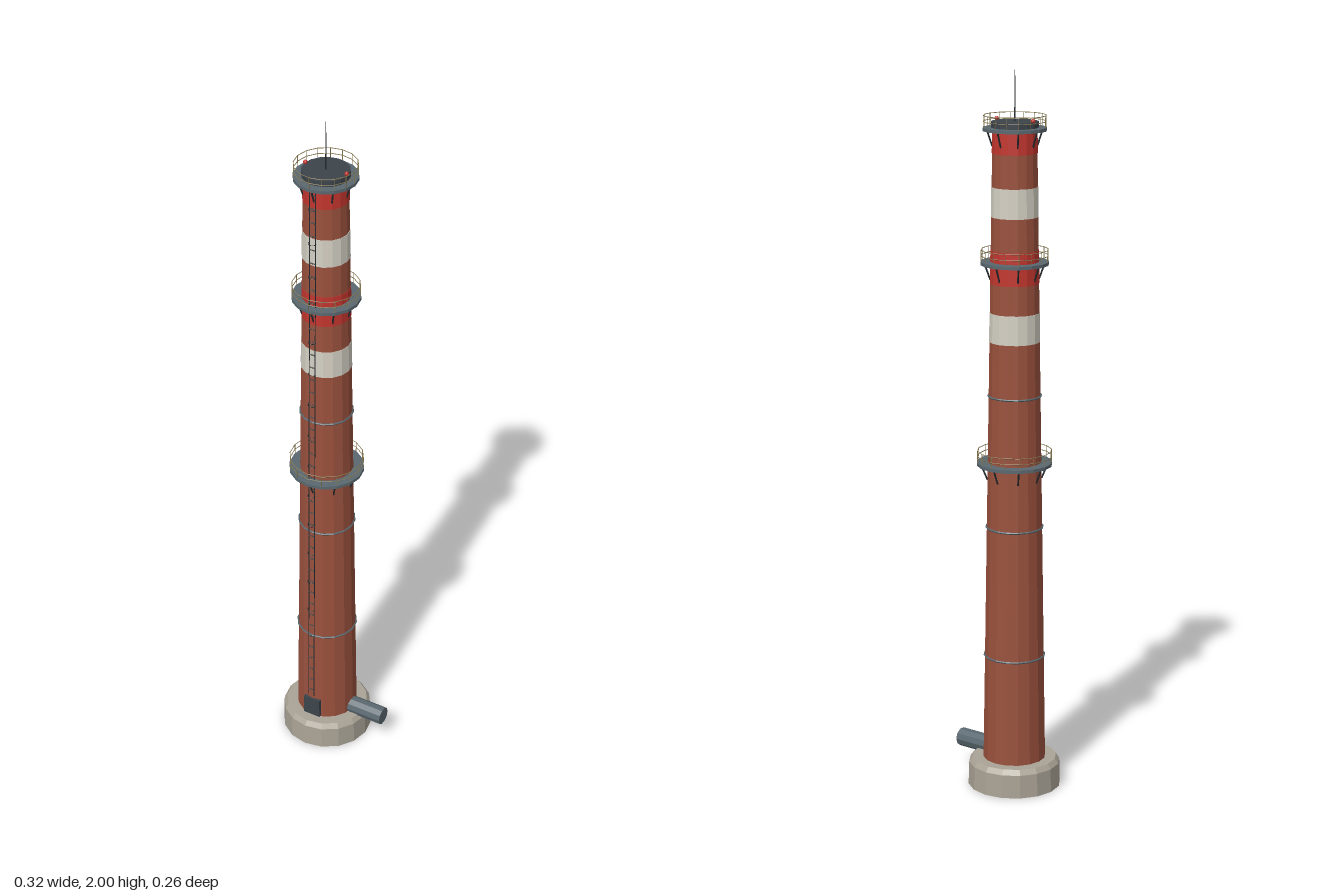
import * as THREE from 'three';

const SIDES = 16;
const material = (color, extra = {}) =>
  new THREE.MeshStandardMaterial({ color, flatShading: true, ...extra });

// Shaft radius at a given height (straight taper)
const shaftRadius = (y) => 0.0885 - 0.0155 * y;

export function createModel() {
  const model = new THREE.Group();
  model.name = 'factoryChimney';
  const tower = new THREE.Group();
  tower.name = 'tower';
  tower.position.x = -0.03;
  model.add(tower);

  const brick = material(0x9a513d);
  const white = material(0xd4d0c4);
  const red = material(0xc2352e);
  const concrete = material(0xaaa396);
  const steel = material(0x5a6870);
  const dark = material(0x3c444b);
  const black = material(0x25292c);
  const railing = material(0x857850);

  function add(name, geometry, mat, parent = tower) {
    const mesh = new THREE.Mesh(geometry, mat);
    mesh.name = name;
    parent.add(mesh);
    return mesh;
  }

  // Solid of revolution from [radius, height] pairs
  function turned(name, points, mat, parent) {
    const profile = points.map(([r, y]) => new THREE.Vector2(r, y));
    return add(name, new THREE.LatheGeometry(profile, SIDES), mat, parent);
  }

  // Thin round bar between two points
  function bar(name, a, b, radius, mat, parent) {
    const from = new THREE.Vector3(...a);
    const to = new THREE.Vector3(...b);
    const dir = to.clone().sub(from);
    const mesh = add(name, new THREE.CylinderGeometry(radius, radius, dir.length(), 5), mat, parent);
    mesh.position.copy(from).add(to).multiplyScalar(0.5);
    mesh.quaternion.setFromUnitVectors(new THREE.Vector3(0, 1, 0), dir.normalize());
    return mesh;
  }

  // Horizontal hoop around the axis
  function hoop(name, radius, y, tube, mat, parent, arc = Math.PI * 2, segments = SIDES) {
    const geometry = new THREE.TorusGeometry(radius, tube, 5, segments, arc);
    geometry.rotateX(Math.PI / 2);
    const mesh = add(name, geometry, mat, parent);
    mesh.position.y = y;
    return mesh;
  }

  // Concrete footing with a bevelled top, open where the shaft stands
  turned('footing', [[0.0885, 0], [0.13, 0], [0.128, 0.066], [0.118, 0.08], [0.085, 0.08]], concrete);

  // Tapered brick shaft
  turned('shaft', [[0, 0], [shaftRadius(0), 0], [shaftRadius(1.84), 1.84], [0, 1.84]], brick);

  // Painted bands
  const bands = [[1.27, 1.35, white], [1.43, 1.52, red], [1.61, 1.69, white], [1.78, 1.84, red]];
  for (const [y0, y1, mat] of bands) {
    const r0 = shaftRadius(y0);
    const r1 = shaftRadius(y1);
    turned('paintedBand', [[r0 - 0.002, y0], [r0 + 0.001, y0], [r1 + 0.001, y1], [r1 - 0.002, y1]], mat);
  }

  // Steel tension hoops
  for (const y of [0.38, 0.75, 1.12]) hoop('tensionHoop', shaftRadius(y) + 0.001, y, 0.003, steel);

  // Platforms: deck, guard rails, posts and diagonal brackets
  function platform(y, radius) {
    const group = new THREE.Group();
    group.name = 'platform';
    tower.add(group);
    const inner = shaftRadius(y) - 0.002;
    turned('deck', [[inner, y - 0.005], [radius, y - 0.005], [radius, y + 0.004], [inner, y + 0.004]], steel, group);
    const railRadius = radius - 0.002;
    for (const h of [0.02, 0.036]) hoop('guardRail', railRadius, y + h, 0.0011, railing, group);
    for (let i = 0; i < SIDES; i++) {
      const a = (i / SIDES) * Math.PI * 2;
      const x = Math.sin(a) * railRadius;
      const z = Math.cos(a) * railRadius;
      bar('railPost', [x, y, z], [x, y + 0.036, z], 0.0009, railing, group);
    }
    for (let i = 0; i < 8; i++) {
      const a = (i / 8) * Math.PI * 2;
      const low = shaftRadius(y - 0.045);
      const high = radius - 0.012;
      bar('bracket', [Math.sin(a) * low, y - 0.045, Math.cos(a) * low],
        [Math.sin(a) * high, y - 0.004, Math.cos(a) * high], 0.0025, black, group);
    }
  }
  platform(0.93, 0.104);
  platform(1.485, 0.093);
  platform(1.844, 0.086);

  // Crown cap
  turned('crown', [[0.058, 1.835], [0.064, 1.838], [0.064, 1.864], [0, 1.864]], dark);

  // Lightning rod
  const rod = add('lightningRod', new THREE.CylinderGeometry(0.0008, 0.002, 0.138, 6), black);
  rod.position.y = 1.931;

  // Warning lights
  for (const side of [-1, 1]) {
    const light = add('warningLight', new THREE.SphereGeometry(0.006, 8, 6), red);
    light.position.set(side * 0.061, 1.868, 0);
  }

  // Ladder leaning along the front of the shaft, with safety cage hoops
  const ladder = new THREE.Group();
  ladder.name = 'ladder';
  tower.add(ladder);
  const ladderZ = (y) => shaftRadius(y) + 0.006;
  for (const x of [-0.009, 0.009]) {
    bar('ladderRail', [x, 0.16, ladderZ(0.16)], [x, 1.84, ladderZ(1.84)], 0.0013, black, ladder);
  }
  for (let i = 0; i < 42; i++) {
    const y = 0.18 + i * 0.04;
    bar('rung', [-0.009, y, ladderZ(y)], [0.009, y, ladderZ(y)], 0.0016, black, ladder);
  }
  for (let y = 0.48; y < 1.8; y += 0.1) {
    hoop('cageHoop', 0.011, y, 0.001, black, ladder, Math.PI, 8).position.z = ladderZ(y);
  }

  // Access door at the foot
  const door = add('door', new THREE.BoxGeometry(0.052, 0.06, 0.012), dark);
  door.position.set(0, 0.113, 0.085);

  // Flue duct entering from the side
  const duct = add('flueDuct', new THREE.CylinderGeometry(0.026, 0.026, 0.12, 10), steel);
  duct.rotation.z = -Math.PI / 2;
  duct.position.set(0.13, 0.091, 0);

  return model;
}
